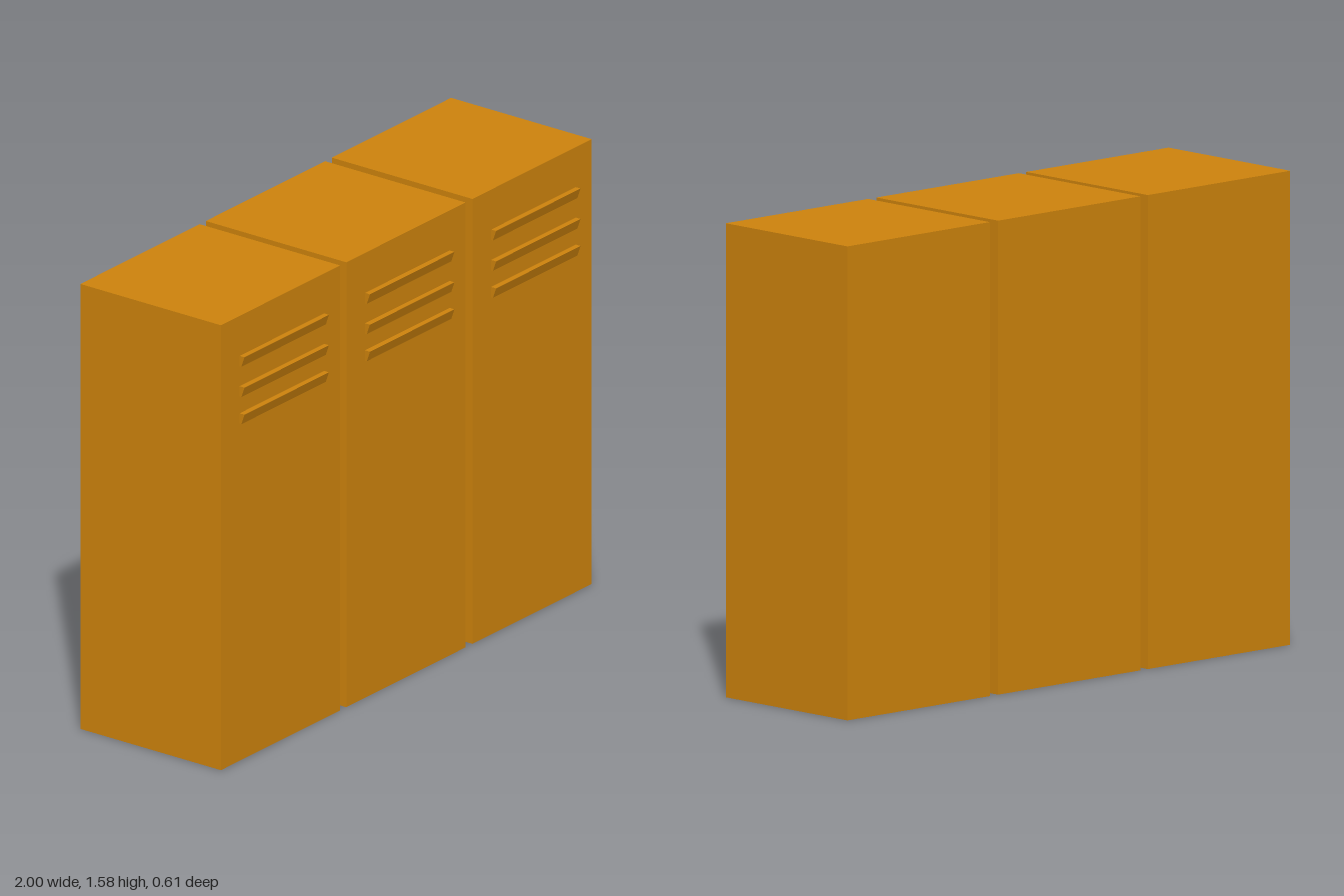
import * as THREE from 'three';

export function createModel() {
  const group = new THREE.Group();
  group.name = 'lockerRow';
  const ochre = new THREE.MeshStandardMaterial({ color: 0xcc820c });
  ochre.name = 'ochre';

  // Locker body
  const W = 0.643, H = 1.58, BACK = -0.303, FRONT = 0.277;
  const bodyGeo = new THREE.BoxGeometry(W, H, FRONT - BACK);
  bodyGeo.translate(0, H / 2, (FRONT + BACK) / 2);

  // Vent slat: wedge profile (z, y) swept along x, wide at the top
  const SLAT_W = 0.456, SLAT_H = 0.037;
  const profile = new THREE.Shape([
    new THREE.Vector2(0.283, 0),
    new THREE.Vector2(0.29, 0),
    new THREE.Vector2(0.303, SLAT_H),
    new THREE.Vector2(0.283, SLAT_H),
  ]);
  const slatGeo = new THREE.ExtrudeGeometry(profile, { depth: SLAT_W, bevelEnabled: false });
  slatGeo.rotateY(-Math.PI / 2);
  slatGeo.translate(SLAT_W / 2, 0, 0);

  // Three lockers side by side, each with three slats
  [-0.6785, -0.002, 0.6785].forEach((x, i) => {
    const locker = new THREE.Group();
    locker.name = 'locker' + (i + 1);
    locker.position.x = x;

    const body = new THREE.Mesh(bodyGeo, ochre);
    body.name = 'body';
    locker.add(body);

    [1.405, 1.297, 1.201].forEach((y, j) => {
      const slat = new THREE.Mesh(slatGeo, ochre);
      slat.name = 'ventSlat' + (j + 1);
      slat.position.y = y;
      locker.add(slat);
    });
    group.add(locker);
  });

  return group;
}
